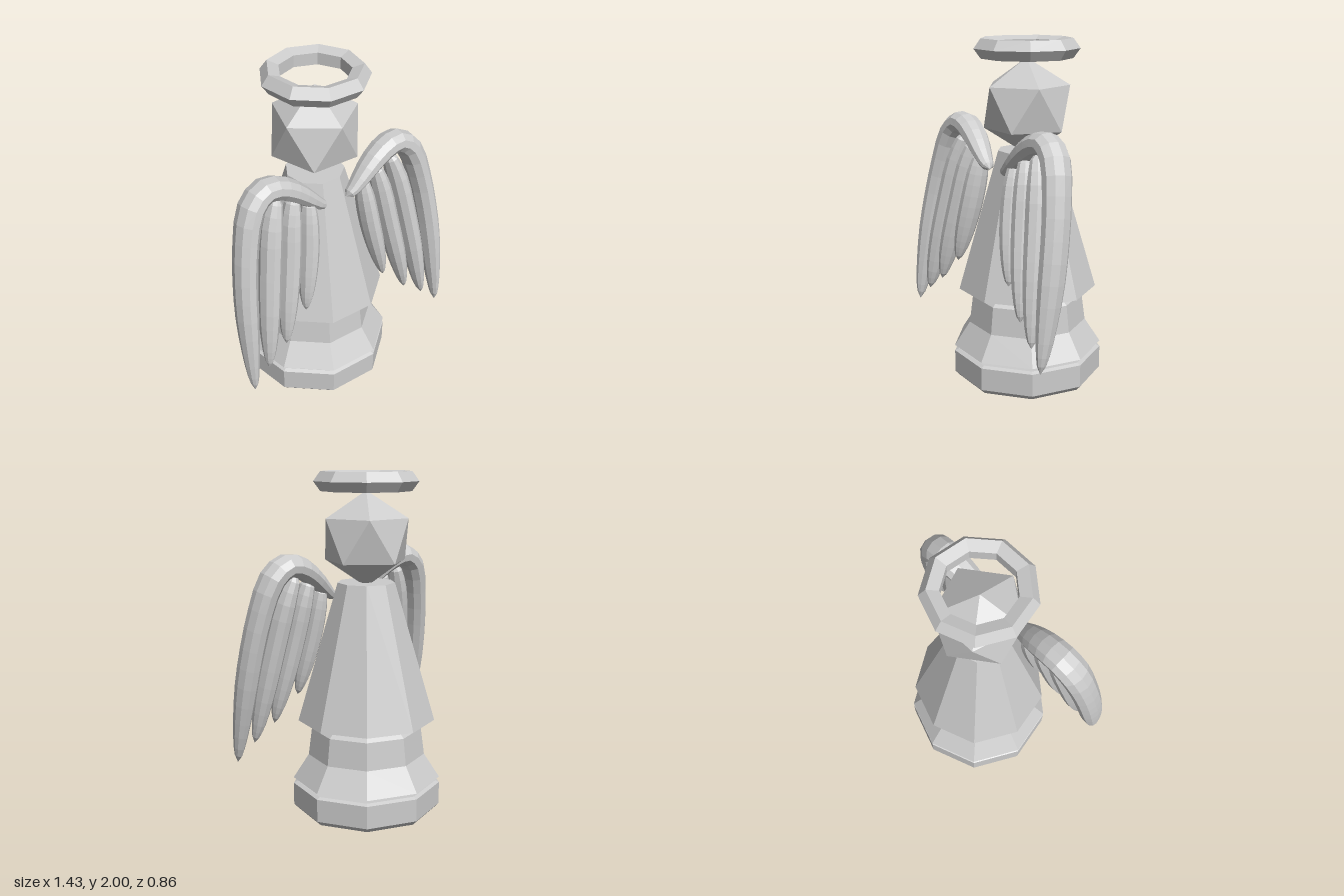
import * as THREE from 'three';

const SIDES = 9;
const AXIS_Z = 0.01;
const SLOPE = 0.175; // how far the wings lean forward per unit of drop

function material() {
  return new THREE.MeshStandardMaterial({ color: 0xcccccc, flatShading: true });
}

function part(name, geometry, y = 0) {
  const mesh = new THREE.Mesh(geometry, material());
  mesh.name = name;
  mesh.position.set(0, y, AXIS_Z);
  return mesh;
}

// Nine-sided turned solid with a corner at the back; profile is [radius, y] from bottom to top
function turned(name, profile) {
  const points = profile.map(([r, y]) => new THREE.Vector2(r, y));
  return part(name, new THREE.LatheGeometry(points, SIDES, Math.PI));
}

// Tapered feather in the leaning wing plane; controls are [x, y, radius] from root to tip
function feather(name, controls, side, steps) {
  const around = 10;
  const depth = 1.32;
  const curve = new THREE.CatmullRomCurve3(controls.map((c) => new THREE.Vector3(...c)));
  const samples = curve.getPoints(steps);
  const centres = samples.map((p) => new THREE.Vector3(p.x * side, p.y, 0.18 + (1.48 - p.y) * SLOPE));
  const D = new THREE.Vector3(0, SLOPE, 1).normalize();
  const positions = [];
  const index = [];
  for (let i = 0; i <= steps; i++) {
    const T = centres[Math.min(i + 1, steps)].clone().sub(centres[Math.max(i - 1, 0)]).normalize();
    const W = new THREE.Vector3().crossVectors(D, T);
    const r = i === 0 || i === steps ? 0 : samples[i].z;
    for (let j = 0; j < around; j++) {
      const a = (j / around) * Math.PI * 2;
      const p = centres[i].clone()
        .addScaledVector(W, r * Math.cos(a))
        .addScaledVector(D, r * depth * Math.sin(a));
      positions.push(p.x, p.y, p.z);
      if (i < steps) {
        const k = i * around + j;
        const n = i * around + ((j + 1) % around);
        if (i < steps - 1) index.push(k, n + around, k + around);
        if (i > 0) index.push(k, n, n + around);
        if (i === steps - 1) index.push(k, n + around, k + around);
      }
    }
  }
  const geometry = new THREE.BufferGeometry();
  geometry.setAttribute('position', new THREE.Float32BufferAttribute(positions, 3));
  geometry.setIndex(index);
  geometry.computeVertexNormals();
  const mesh = new THREE.Mesh(geometry, material());
  mesh.name = name;
  return mesh;
}

function wing(name, side) {
  const group = new THREE.Group();
  group.name = name;
  // Arched leading feather
  group.add(feather('leadingFeather', [
    [0.065, 1.265, 0.02], [0.12, 1.295, 0.036], [0.22, 1.38, 0.055], [0.33, 1.457, 0.064],
    [0.44, 1.483, 0.067], [0.53, 1.415, 0.068], [0.59, 1.24, 0.065], [0.63, 1.02, 0.063],
    [0.653, 0.8, 0.06], [0.666, 0.58, 0.047], [0.673, 0.42, 0.03], [0.675, 0.325, 0.01],
  ], side, 22));
  // Hanging feathers, outer to inner
  const hanging = [
    [[0.37, 1.45, 0.03], [0.425, 1.28, 0.056], [0.475, 1.02, 0.06], [0.52, 0.74, 0.055], [0.55, 0.53, 0.035], [0.567, 0.425, 0.01]],
    [[0.27, 1.41, 0.03], [0.305, 1.26, 0.054], [0.345, 1.02, 0.058], [0.39, 0.78, 0.052], [0.42, 0.62, 0.034], [0.435, 0.525, 0.01]],
    [[0.18, 1.35, 0.03], [0.193, 1.23, 0.05], [0.215, 1.05, 0.055], [0.245, 0.88, 0.048], [0.267, 0.76, 0.032], [0.28, 0.68, 0.01]],
  ];
  hanging.forEach((c, i) => group.add(feather('hangingFeather' + (i + 1), c, side, 14)));
  return group;
}

export function createModel() {
  const model = new THREE.Group();
  model.name = 'angelFigure';

  // Two-piece plinth
  model.add(turned('baseDisc', [
    [0, 0], [0.415, 0], [0.443, 0.03], [0.443, 0.165], [0.42, 0.175], [0, 0.175],
  ]));
  model.add(turned('basePedestal', [
    [0, 0.185], [0.405, 0.185], [0.443, 0.2], [0.35, 0.34], [0.329, 0.5], [0.3, 0.525], [0, 0.525],
  ]));

  // Robe
  model.add(turned('robe', [[0, 0.555], [0.408, 0.555], [0.168, 1.37], [0, 1.37]]));

  // Head, turned so that one corner points straight up
  const head = new THREE.IcosahedronGeometry(0.275, 0);
  head.rotateX(-Math.atan2(1 + Math.sqrt(5), 2));
  model.add(part('head', head, 1.617));

  // Halo
  const halo = new THREE.TorusGeometry(0.244, 0.058, 5, SIDES);
  halo.rotateX(Math.PI / 2).rotateY(Math.PI / 2);
  model.add(part('halo', halo, 1.945));

  model.add(wing('leftWing', 1), wing('rightWing', -1));
  return model;
}
